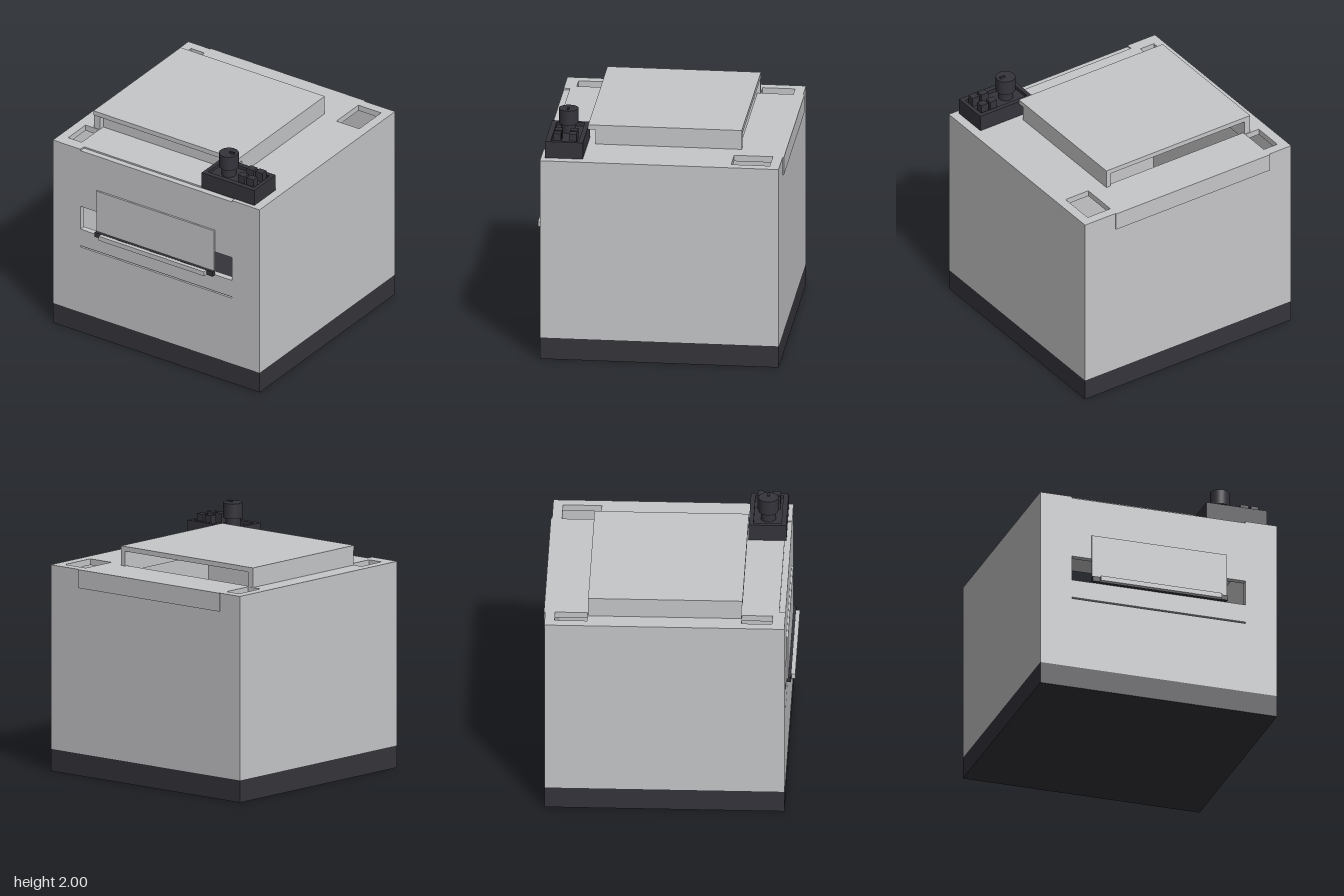
import * as THREE from 'three';

const shell = new THREE.MeshStandardMaterial({ color: 0xc6c7c9 });
shell.name = 'light grey';
const dark = new THREE.MeshStandardMaterial({ color: 0x35343b });
dark.name = 'charcoal';

// Rectangle as a closed loop of points
const rect = (x0, x1, y0, y1) =>
  [[x0, y0], [x1, y0], [x1, y1], [x0, y1]].map(p => new THREE.Vector2(...p));

export function createModel() {
  const model = new THREE.Group();
  model.name = 'machine';

  const add = (name, geometry, material) => {
    const mesh = new THREE.Mesh(geometry, material);
    mesh.name = name;
    model.add(mesh);
    return mesh;
  };
  // Box given by its limits on each axis
  const box = (name, material, x0, x1, y0, y1, z0, z1) => {
    const mesh = add(name, new THREE.BoxGeometry(x1 - x0, y1 - y0, z1 - z0), material);
    mesh.position.set((x0 + x1) / 2, (y0 + y1) / 2, (z0 + z1) / 2);
    return mesh;
  };
  // Flat panel with rectangular cut-outs
  const panel = (outline, holes, depth) => {
    const shape = new THREE.Shape(outline);
    holes.forEach(h => shape.holes.push(new THREE.Path(rect(...h))));
    return new THREE.ExtrudeGeometry(shape, { depth, bevelEnabled: false });
  };
  // Horizontal panel: limits are x0, x1, z0, z1
  const flatPanel = (outer, holes, depth) => {
    const flip = ([x0, x1, z0, z1]) => [x0, x1, -z1, -z0];
    return panel(rect(...flip(outer)), holes.map(flip), depth).rotateX(-Math.PI / 2);
  };

  // Hollow cabinet on a dark base
  box('base', dark, -1, 1, 0, 0.18, -0.99, 0.93);
  box('backWall', shell, -1, 1, 0.18, 1.63, -0.99, -0.94);
  for (const s of [-1, 1]) {
    box('sideWall', shell, s * 0.975 - 0.025, s * 0.975 + 0.025, 0.18, 1.63, -0.94, 0.88);
  }

  // Front wall with a shallow notch on its top edge, a window and a slit
  const frontOutline = [[-1, 0.18], [1, 0.18], [1, 1.68], [0.733, 1.68], [0.733, 1.667],
    [-0.733, 1.667], [-0.733, 1.68], [-1, 1.68]].map(p => new THREE.Vector2(...p));
  add('frontWall', panel(frontOutline,
    [[-0.733, 0.733, 0.945, 1.155], [-0.733, 0.733, 0.781, 0.793]], 0.05), shell)
    .position.z = 0.88;

  // Top with three openings and one below the lid
  add('topPanel', flatPanel([-1, 1, -0.99, 0.88], [
    [-0.92, -0.79, -0.91, -0.65],
    [0.70, 0.92, -0.91, -0.60],
    [-0.92, -0.79, 0.585, 0.83],
    [-0.785, 0.515, -0.62, 0.48],
  ], 0.05), shell).position.y = 1.63;

  // Raised lid, open towards the back
  box('lidTop', shell, -0.84, 0.555, 1.80, 1.84, -0.645, 0.59);
  box('lidLeftWall', shell, 0.515, 0.555, 1.68, 1.80, -0.645, 0.53);
  box('lidRightWall', shell, -0.84, -0.785, 1.68, 1.80, -0.645, 0.58);
  box('lidFrontWall', shell, -0.785, 0.515, 1.68, 1.80, 0.48, 0.53);

  // Thin plate on the back
  box('backPlate', shell, -0.79, 0.705, 1.53, 1.68, -1, -0.99);

  // Front flap with its rail and handle
  box('flap', shell, -0.57, 0.57, 0.985, 1.355, 0.93, 0.945);
  box('rail', dark, -0.57, 0.57, 0.945, 0.987, 0.93, 0.968);
  box('handle', shell, -0.51, 0.51, 0.945, 0.985, 0.968, 1);

  // Control box with a recessed face
  box('controlBox', dark, 0.415, 0.925, 1.68, 1.79, 0.593, 0.895);
  add('controlRim', flatPanel([0.415, 0.925, 0.593, 0.895], [[0.448, 0.893, 0.63, 0.853]], 0.028), dark)
    .position.y = 1.79;

  // Dial
  const cylinder = (name, r, y0, y1) =>
    add(name, new THREE.CylinderGeometry(r, r, y1 - y0, 32), dark)
      .position.set(0.577, (y0 + y1) / 2, 0.745);
  cylinder('dialStem', 0.06, 1.79, 1.862);
  cylinder('dial', 0.079, 1.862, 1.985);
  box('dialPointer', dark, 0.585, 0.63, 1.985, 2, 0.738, 0.752);

  // Push buttons in a grid
  for (const x of [0.757, 0.843]) {
    for (const z of [0.68, 0.805]) {
      box('button', dark, x - 0.033, x + 0.033, 1.79, 1.87, z - 0.03, z + 0.03);
    }
  }
  return model;
}
